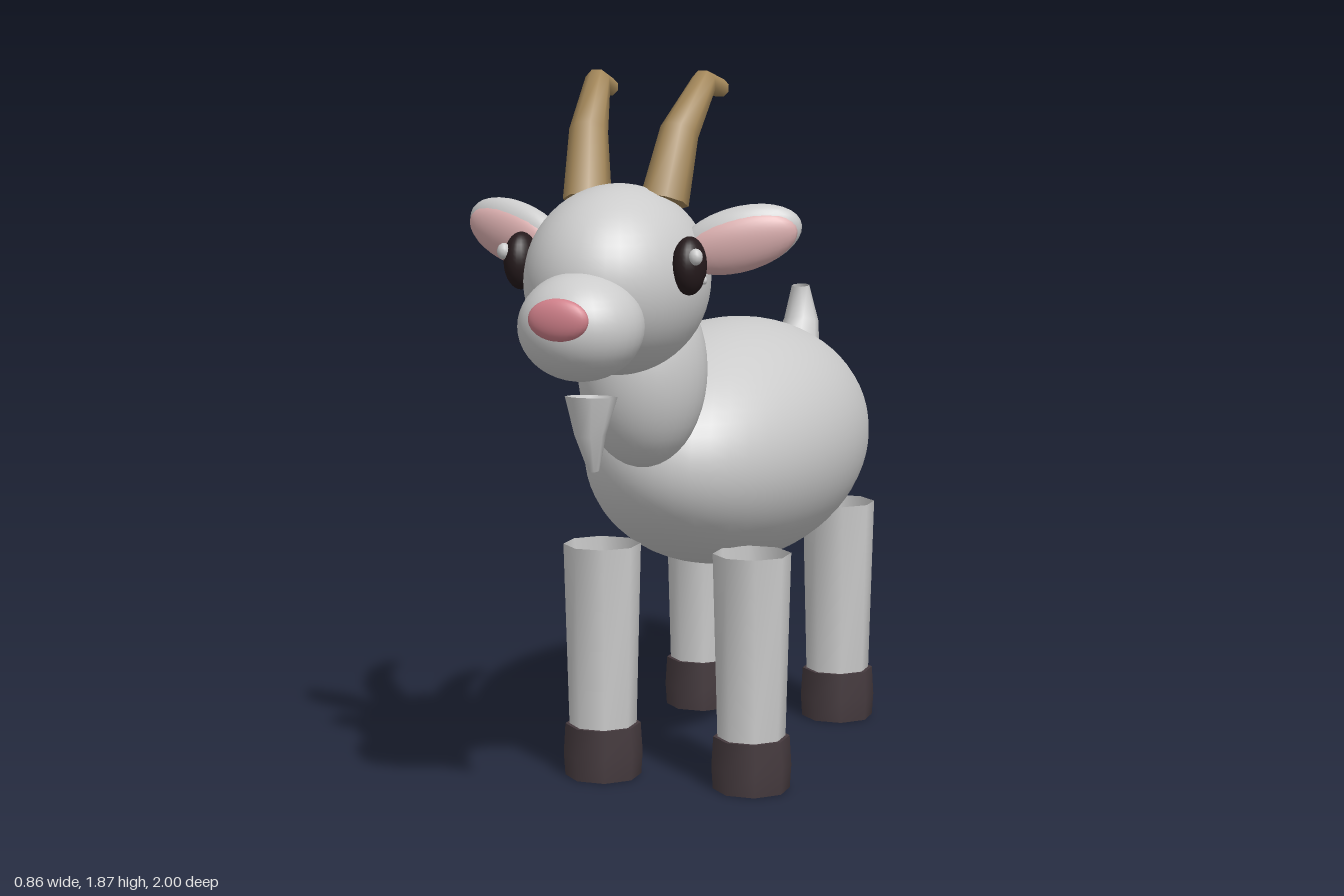
import * as THREE from 'three';

const mat = (color, side = THREE.FrontSide) =>
  new THREE.MeshStandardMaterial({ color, side });

const grey = mat(0xcccccc);
const greyOpen = mat(0xcccccc, THREE.DoubleSide);
const hornMat = mat(0xa3875a, THREE.DoubleSide);
const hoofMat = mat(0x453a3e, THREE.DoubleSide);
const eyeMat = mat(0x251a1c);
const noseMat = mat(0xd0808a);
const pinkMat = mat(0xdcb0b0);
const whiteMat = mat(0xffffff);

// Ellipsoid with the given centre and radii
function ellipsoid(name, material, centre, radii, detail = 32) {
  const geometry = new THREE.SphereGeometry(1, detail, Math.round(detail * 0.7));
  geometry.scale(...radii);
  const mesh = new THREE.Mesh(geometry, material);
  mesh.name = name;
  mesh.position.set(...centre);
  return mesh;
}

// Eight-sided tapered tube through rings [x, y, z, radius], with optional end caps
function loft(name, material, rings, capStart = false, capEnd = false) {
  const sides = 8;
  const points = rings.map(r => new THREE.Vector3(r[0], r[1], r[2]));
  const positions = [];
  const index = [];
  rings.forEach((ring, i) => {
    const tangent = new THREE.Vector3();
    if (i > 0) tangent.add(points[i].clone().sub(points[i - 1]).normalize());
    if (i < rings.length - 1) tangent.add(points[i + 1].clone().sub(points[i]).normalize());
    tangent.normalize();
    const u = new THREE.Vector3(1, 0, 0).addScaledVector(tangent, -tangent.x).normalize();
    const v = tangent.clone().cross(u);
    for (let s = 0; s < sides; s++) {
      const a = ((s + 0.5) / sides) * Math.PI * 2;
      const p = points[i].clone()
        .addScaledVector(u, Math.cos(a) * ring[3])
        .addScaledVector(v, Math.sin(a) * ring[3]);
      positions.push(p.x, p.y, p.z);
    }
  });
  for (let i = 0; i < rings.length - 1; i++) {
    for (let s = 0; s < sides; s++) {
      const a = i * sides + s;
      const b = i * sides + ((s + 1) % sides);
      index.push(a, b, b + sides, a, b + sides, a + sides);
    }
  }
  // Caps use their own vertices so the rim stays sharp
  const addCap = (ring, flip) => {
    const first = positions.length / 3;
    const start = ring * sides * 3;
    positions.push(...positions.slice(start, start + sides * 3));
    for (let s = 1; s < sides - 1; s++) {
      if (flip) index.push(first, first + s + 1, first + s);
      else index.push(first, first + s, first + s + 1);
    }
  };
  if (capStart) addCap(0, true);
  if (capEnd) addCap(rings.length - 1, false);
  const geometry = new THREE.BufferGeometry();
  geometry.setAttribute('position', new THREE.Float32BufferAttribute(positions, 3));
  geometry.setIndex(index);
  geometry.computeVertexNormals();
  const mesh = new THREE.Mesh(geometry, material);
  mesh.name = name;
  return mesh;
}

// Leg tube, open at the top, standing in a solid hoof
function makeLeg(name, x, z) {
  const leg = new THREE.Group();
  leg.name = name;
  leg.add(
    loft('shank', greyOpen, [[0, 0.13, 0, 0.089], [0, 0.625, 0, 0.102]]),
    loft('hoof', hoofMat, [[0, 0, 0, 0.101], [0, 0.06, 0, 0.105], [0, 0.14, 0, 0.1]], true, true)
  );
  leg.position.set(x, 0, z);
  return leg;
}

// Flattened ear leaning up and back, with a pink inner face
function makeEar(name, side) {
  const ear = new THREE.Group();
  ear.name = name;
  ear.add(
    ellipsoid('outerEar', grey, [0, 0, 0], [0.155, 0.08, 0.05], 24),
    ellipsoid('innerEar', pinkMat, [0, -0.006, 0.018], [0.142, 0.07, 0.04], 24)
  );
  ear.position.set(side * 0.287, 1.467, 0.515);
  const out = new THREE.Vector3(side * 0.93, 0.27, -0.27).normalize();
  const along = out.clone().multiplyScalar(side);
  const front = new THREE.Vector3(0, -0.25, 1).addScaledVector(
    along, -new THREE.Vector3(0, -0.25, 1).dot(along)).normalize();
  const up = front.clone().cross(along);
  ear.quaternion.setFromRotationMatrix(new THREE.Matrix4().makeBasis(along, up, front));
  return ear;
}

// Dark eye with two glints
function makeEye(name, side) {
  const eye = new THREE.Group();
  eye.name = name;
  eye.add(
    ellipsoid('eyeball', eyeMat, [side * 0.215, 1.415, 0.675], [0.04, 0.07, 0.056], 24),
    ellipsoid('largeGlint', whiteMat, [side * 0.244, 1.44, 0.713], [0.017, 0.02, 0.017], 12),
    ellipsoid('smallGlint', whiteMat, [side * 0.247, 1.38, 0.662], [0.008, 0.01, 0.009], 10)
  );
  return eye;
}

export function createModel() {
  const goat = new THREE.Group();
  goat.name = 'goat';

  // Trunk, neck and head
  goat.add(
    ellipsoid('body', grey, [0, 0.85, -0.285], [0.355, 0.33, 0.62], 48),
    ellipsoid('neck', grey, [0, 1.125, 0.41], [0.16, 0.245, 0.175]),
    ellipsoid('head', grey, [0, 1.368, 0.583], [0.22, 0.232, 0.28], 40),
    ellipsoid('muzzle', grey, [0, 1.28, 0.83], [0.15, 0.13, 0.15]),
    ellipsoid('nose', noseMat, [0, 1.31, 0.975], [0.075, 0.05, 0.025], 24)
  );

  // Hanging beard and upright tail, both open tubes
  goat.add(
    loft('beard', greyOpen, [
      [0, 1.105, 0.768, 0.063], [0, 1.015, 0.775, 0.038], [0, 0.925, 0.753, 0.014]]),
    loft('tail', greyOpen, [
      [0, 0.99, -0.878, 0.078], [0, 1.105, -0.952, 0.051], [0, 1.208, -0.942, 0.026]])
  );

  // Paired parts
  for (const side of [1, -1]) {
    const label = side > 0 ? 'left' : 'right';
    goat.add(
      makeEar(label + 'Ear', side),
      makeEye(label + 'Eye', side),
      loft(label + 'Horn', hornMat, [
        [side * 0.1, 1.555, 0.528, 0.06],
        [side * 0.118, 1.72, 0.47, 0.048],
        [side * 0.14, 1.837, 0.348, 0.033],
        [side * 0.148, 1.82, 0.243, 0.023]], true, true),
      makeLeg(label + 'FrontLeg', side * 0.207, 0.16),
      makeLeg(label + 'BackLeg', side * 0.207, -0.645)
    );
  }
  return goat;
}
